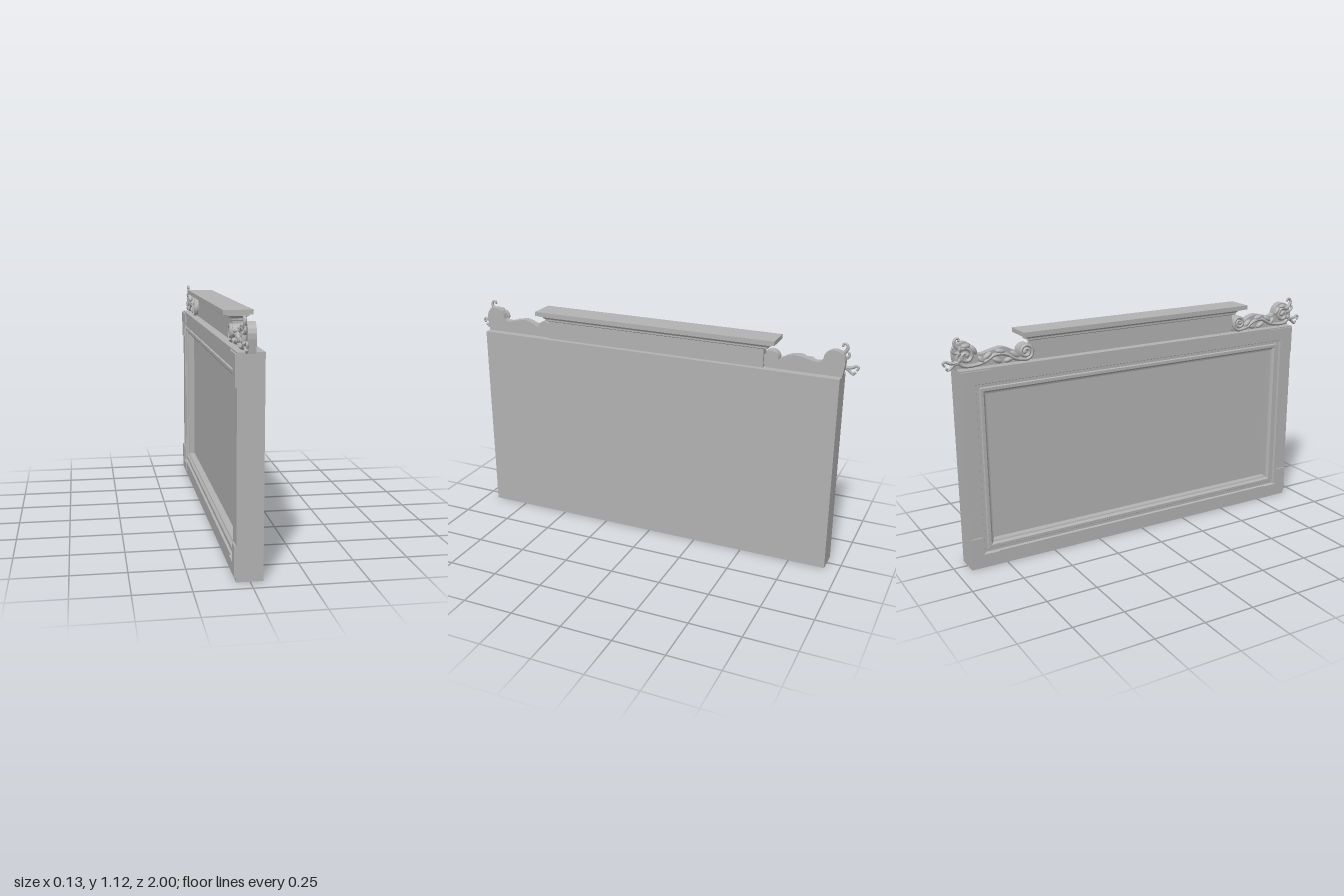
import * as THREE from 'three';

// Local frame: u runs along the panel, v is up, w points out of the framed face.
// The whole group is turned at the end so that w becomes -x and u becomes z.
const V = (u, v, w) => new THREE.Vector3(u, v, w);

// Flat-faced solid through four-cornered loops, capped at both ends
function loft(loops) {
  const pos = [];
  const quad = (a, b, c, d) => [a, b, c, a, c, d].forEach(p => pos.push(p.x, p.y, p.z));
  for (let i = 0; i < loops.length - 1; i++) {
    for (let j = 0; j < 4; j++) {
      const k = (j + 1) % 4;
      quad(loops[i][j], loops[i][k], loops[i + 1][k], loops[i + 1][j]);
    }
  }
  const f = loops[0], l = loops[loops.length - 1];
  quad(f[3], f[2], f[1], f[0]);
  quad(l[0], l[1], l[2], l[3]);
  const g = new THREE.BufferGeometry();
  g.setAttribute('position', new THREE.Float32BufferAttribute(pos, 3));
  g.computeVertexNormals();
  return g;
}

// Tube through points, tapering from radius r0 to r1
function taperTube(pts, r0, r1) {
  const curve = new THREE.CatmullRomCurve3(pts, false, 'centripetal');
  const n = pts.length * 4, sides = 8;
  const g = new THREE.TubeGeometry(curve, n, 1, sides);
  const p = g.attributes.position, q = V(0, 0, 0);
  for (let i = 0; i <= n; i++) {
    const c = curve.getPointAt(i / n), r = r0 + (r1 - r0) * i / n;
    for (let j = 0; j <= sides; j++) {
      const k = i * (sides + 1) + j;
      q.fromBufferAttribute(p, k).sub(c).multiplyScalar(r).add(c);
      p.setXYZ(k, q.x, q.y, q.z);
    }
  }
  g.computeVertexNormals();
  return g;
}

// Spiral points as [u, v]
function spiral(cu, cv, r0, r1, a0, a1, n) {
  return Array.from({ length: n + 1 }, (_, i) => {
    const t = i / n, r = r0 + (r1 - r0) * t, a = a0 + (a1 - a0) * t;
    return [cu + r * Math.cos(a), cv + r * Math.sin(a)];
  });
}

export function createModel() {
  const group = new THREE.Group();
  group.name = 'ornatePanel';
  const grey = new THREE.MeshStandardMaterial({ color: 0xb2b2b2 });
  const add = (geo, name, parent = group) => {
    const m = new THREE.Mesh(geo, grey);
    m.name = name;
    parent.add(m);
    return m;
  };

  // Panel body with moulded frame and recessed field: [inset, w]
  const H = 0.93, TOP = 0.967;
  add(loft([
    [0, -0.056], [0, 0.06], [0.07, 0.06], [0.074, 0.05], [0.088, 0.05], [0.092, 0.056],
    [0.106, 0.056], [0.115, 0.046], [0.122, 0.044], [0.122, 0.012],
  ].map(([i, w]) => [
    V(-H + i, i, w), V(H - i, i, w), V(H - i, TOP - i, w), V(-H + i, TOP - i, w),
  ])), 'panelBody');

  // Neck and stepped cornice: [half length, w min, w max, height]
  add(loft([
    [0.565, -0.03, 0.018, 0.96], [0.565, -0.03, 0.018, 1.056], [0.585, -0.036, 0.024, 1.06],
    [0.585, -0.036, 0.024, 1.068], [0.598, -0.045, 0.036, 1.08], [0.606, -0.05, 0.046, 1.08],
    [0.606, -0.05, 0.046, 1.087], [0.624, -0.065, 0.068, 1.087], [0.624, -0.065, 0.068, 1.108],
  ].map(([u, w0, w1, v]) => [V(-u, v, w0), V(-u, v, w1), V(u, v, w1), V(u, v, w0)]
  )), 'cornice');

  for (const s of [1, -1]) {
    const side = new THREE.Group();
    side.name = s > 0 ? 'frontEndOrnament' : 'backEndOrnament';
    group.add(side);

    // L-shaped corner plates
    for (const [v, d] of [[0.02, 1], [0.961, -1]]) {
      const L = new THREE.Shape([[0, 0], [0.138, 0], [0.138, 0.05], [0.058, 0.05], [0.058, 0.138], [0, 0.138]]
        .map(([a, b]) => new THREE.Vector2(s * (0.927 - a), v + d * b)));
      const g = new THREE.ExtrudeGeometry(L, { depth: 0.009, bevelEnabled: false });
      add(g.translate(0, 0, 0.059), 'cornerPlate', side);
    }

    // Curved crest plate standing on the top edge
    const crest = new THREE.Shape();
    crest.moveTo(s * 0.93, 0.96);
    crest.lineTo(s * 0.94, 1.02);
    crest.bezierCurveTo(s * 0.95, 1.105, s * 0.85, 1.11, s * 0.838, 1.035);
    crest.bezierCurveTo(s * 0.82, 1.01, s * 0.78, 1.035, s * 0.72, 1.043);
    crest.bezierCurveTo(s * 0.67, 1.043, s * 0.65, 1.01, s * 0.62, 1.01);
    crest.bezierCurveTo(s * 0.6, 1.015, s * 0.575, 1.03, s * 0.56, 1.0);
    crest.quadraticCurveTo(s * 0.56, 0.98, s * 0.585, 0.96);
    add(new THREE.ExtrudeGeometry(crest, { depth: 0.036, bevelEnabled: false, curveSegments: 10 })
      .translate(0, 0, -0.018), 'crestPlate', side);

    const tube = (pts, r0, r1, w, name) => {
      add(taperTube(pts.map(([u, v]) => V(s * u, v, w)), r0, r1), name, side);
      for (const [p, r] of [[pts[0], r0], [pts[pts.length - 1], r1]]) {
        add(new THREE.SphereGeometry(r * 1.25, 10, 8).translate(s * p[0], p[1], w), name + 'Bead', side);
      }
    };

    // Long scroll with a volute at each end
    const PI = Math.PI;
    tube([
      ...spiral(0.6, 1.012, 0.008, 0.036, -4 * PI, -PI / 2, 22),
      [0.65, 0.985], [0.7, 1.012], [0.75, 1.015], [0.8, 0.99], [0.845, 0.98],
      ...spiral(0.888, 1.026, 0.046, 0.008, -PI / 2, 2.8 * PI, 22),
    ], 0.009, 0.009, 0.03, 'scroll');

    // Volute drum that carries the inner scroll
    add(new THREE.CylinderGeometry(0.036, 0.036, 0.045, 24).rotateX(PI / 2)
      .translate(s * 0.6, 1.012, 0.004), 'voluteDrum', side);

    // Leaf curls past the outer corner
    tube([[0.915, 1.06], [0.93, 1.075], [0.938, 1.092], [0.93, 1.108], [0.918, 1.108], [0.916, 1.1]],
      0.01, 0.005, 0.03, 'topCurl');
    tube([[0.92, 1.01], [0.94, 1.0], [0.965, 1.003], [0.985, 1.012], [0.994, 1.004], [0.988, 0.995]],
      0.01, 0.005, 0.03, 'outerCurl');
    tube([[0.925, 1.0], [0.945, 0.992], [0.96, 0.978], [0.972, 0.972], [0.978, 0.98]],
      0.009, 0.005, 0.03, 'lowerCurl');
    tube([[0.92, 1.04], [0.938, 1.045], [0.948, 1.058], [0.945, 1.068]],
      0.009, 0.005, 0.03, 'sideCurl');

    // Leaves along the scroll: [u, v, length, tilt]
    for (const [u, v, len, tilt] of [
      [0.655, 1.005, 0.026, 0.7], [0.685, 0.985, 0.024, -0.3], [0.725, 1.028, 0.026, 0.2],
      [0.74, 0.988, 0.026, 0.5], [0.785, 1.015, 0.026, -0.6], [0.815, 1.0, 0.022, 0.9],
      [0.85, 1.05, 0.026, 1.0], [0.885, 1.07, 0.022, 0],
    ]) {
      add(new THREE.SphereGeometry(1, 12, 8).scale(len, 0.012, 0.014).rotateZ(s * tilt)
        .translate(s * u, v, 0.027), 'leaf', side);
    }
  }

  // Turn the framed face toward -x
  group.rotation.y = -Math.PI / 2;
  const root = new THREE.Group();
  root.name = 'panelWithCrest';
  root.add(group);
  return root;
}
